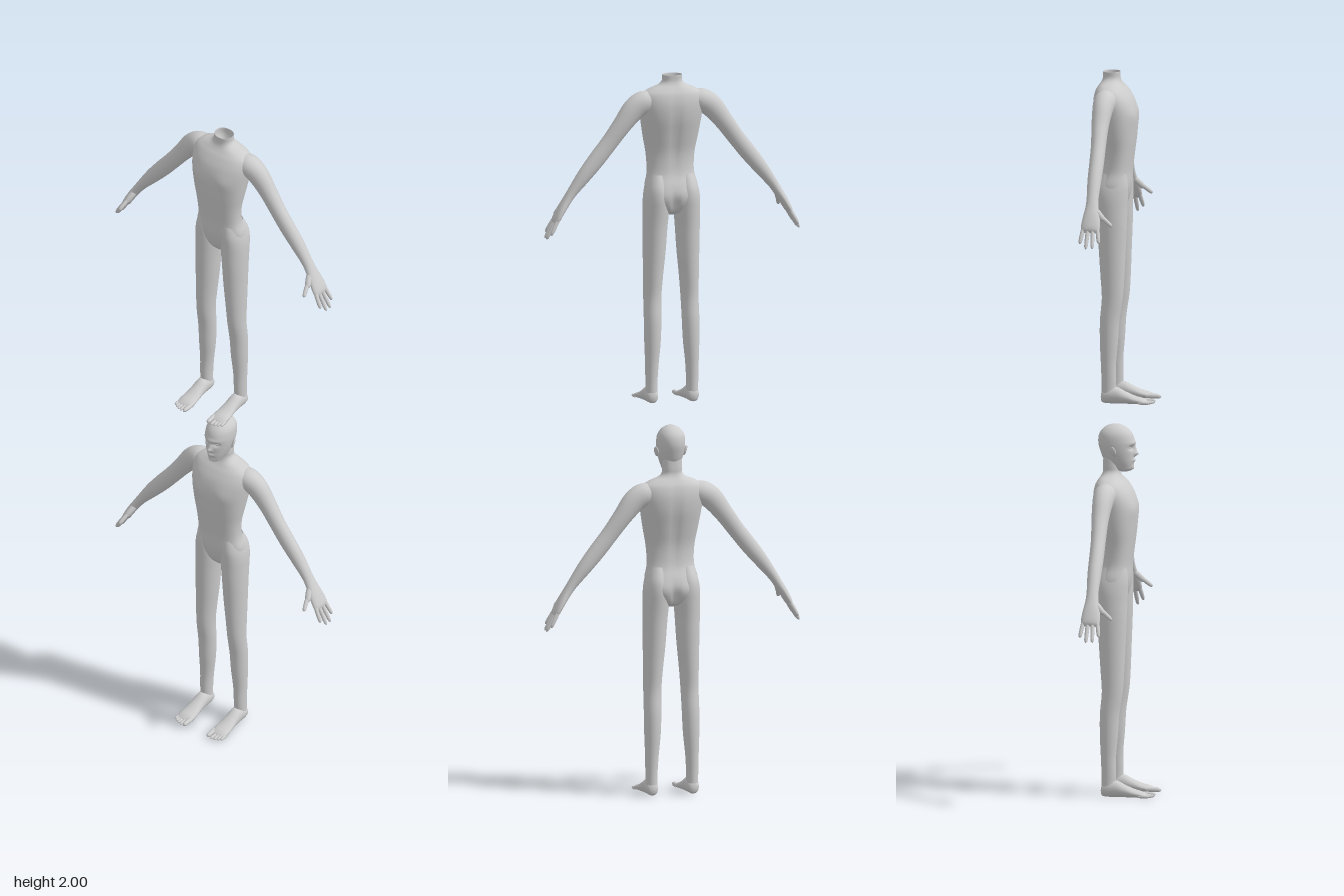
import * as THREE from 'three';

const skin = new THREE.MeshStandardMaterial({ color: 0xcccccc, side: THREE.DoubleSide });
skin.name = 'light grey skin';

// Catmull-Rom blend of whole cross-section rows
function blend(rows, t) {
  const n = rows.length - 1, i = Math.min(Math.floor(t), n - 1), f = t - i;
  const at = k => rows[Math.max(0, Math.min(n, k))];
  return rows[0].map((_, c) => {
    const [p, q, r, s] = [at(i - 1)[c], at(i)[c], at(i + 1)[c], at(i + 2)[c]];
    return q + 0.5 * f * (r - p + f * (2 * p - 5 * q + 4 * r - s + f * (3 * (q - r) + s - p)));
  });
}

// Smooth skin through rows [x, y, z, halfA, halfB]; halfB lies along `axisB`
function loft(name, rows, { seg = 24, steps = 4, axisB = [0, 0, 1], up = null, power = 1, deform = null } = {}) {
  const pos = [], index = [], count = (rows.length - 1) * steps;
  const centre = t => new THREE.Vector3(...blend(rows, t).slice(0, 3));
  const pw = v => Math.sign(v) * Math.abs(v) ** power;
  for (let i = 0; i <= count; i++) {
    const t = i / steps, c = centre(t), row = blend(rows, t);
    const T = up ? new THREE.Vector3(...up)
      : centre(Math.min(t + 0.1, rows.length - 1)).sub(centre(Math.max(t - 0.1, 0))).normalize();
    const A = new THREE.Vector3(...axisB).cross(T).normalize();
    const B = T.clone().cross(A);
    for (let j = 0; j < seg; j++) {
      const th = j / seg * Math.PI * 2;
      const p = c.clone().addScaledVector(A, Math.max(row[3], 0.0003) * pw(Math.cos(th)))
        .addScaledVector(B, Math.max(row[4], 0.0003) * pw(Math.sin(th)));
      if (deform) deform(p, c);
      pos.push(p.x, p.y, p.z);
      if (i < count) {
        const a = i * seg + j, b = i * seg + (j + 1) % seg;
        index.push(a, b, a + seg, b, b + seg, a + seg);
      }
    }
  }
  const g = new THREE.BufferGeometry();
  g.setAttribute('position', new THREE.Float32BufferAttribute(pos, 3));
  g.setIndex(index);
  g.computeVertexNormals();
  const m = new THREE.Mesh(g, skin);
  m.name = name;
  return m;
}

// Upright section from half width and front/back depth
const slab = ([y, w, front, back]) => [0, y, (front + back) / 2, w, (front - back) / 2];

// Push front (dir 1) or back (dir -1) vertices by soft mounds [x, y, sizeX, sizeY, amount]
const mounds = (list, dir) => (p, c) => {
  if ((p.z - c.z) * dir <= 0.008) return;
  const { x, y } = p;
  for (const [mx, my, sx, sy, amt] of list)
    p.z += dir * amt * Math.exp(-(((x - mx) / sx) ** 2) - ((y - my) / sy) ** 2);
};

// Rounded finger or toe from point a to point b
function digit(name, a, b, r, axisB) {
  const at = (f, k) => [0, 1, 2].map(i => a[i] + (b[i] - a[i]) * f).concat(r * k, r * k);
  return loft(name, [at(0, 0.9), at(0.4, 1), at(0.8, 0.9), at(0.95, 0.6), at(1, 0)], { seg: 10, steps: 2, axisB });
}

function torso(detailed) {
  const butt = detailed ? 0.006 : 0.003;
  const rows = [
    [0.522, 0.008, -0.022, -0.045], [0.532, 0.036, -0.006, -0.062], [0.552, 0.06, 0.006, -0.073],
    [0.578, 0.073, 0.014, -0.078], [0.605, 0.074, 0.018, -0.073], [0.64, 0.066, 0.019, -0.061],
    [0.69, 0.068, 0.025, -0.06], [0.74, 0.077, 0.031, -0.071], [0.79, 0.085, 0.033, -0.083],
    [0.83, 0.09, 0.024, -0.086], [0.858, 0.086, 0.008, -0.081], [0.873, 0.066, -0.004, -0.073],
    [0.884, 0.039, -0.011, -0.066], [0.895, 0.028, -0.014, -0.062], [0.91, 0.0275, -0.014, -0.062],
  ];
  // Neck runs on into the head, or turns inward to a hollow
  if (detailed) rows.push([0.945, 0.027, -0.012, -0.06]);
  else rows.push([0.909, 0.0265, -0.015, -0.061], [0.892, 0.025, -0.017, -0.06], [0.875, 0.016, -0.026, -0.052], [0.872, 0.001, -0.038, -0.04]);
  const back = mounds([[0.035, 0.565, 0.025, 0.03, butt], [-0.035, 0.565, 0.025, 0.03, butt],
    [0, 0.55, 0.008, 0.03, -0.01], [0, 0.75, 0.012, 0.1, -0.006]], -1);
  const front = mounds([[0.04, 0.795, 0.025, 0.022, 0.003], [-0.04, 0.795, 0.025, 0.022, 0.003]], 1);
  return loft('torso', rows.map(slab), { seg: 48, up: [0, 1, 0], power: 0.88,
    deform: (p, c) => { back(p, c); front(p, c); } });
}

function arm(s) {
  const g = new THREE.Group();
  g.name = s > 0 ? 'leftArm' : 'rightArm';
  const flip = rows => rows.map(([x, ...r]) => [s * x, ...r]);
  g.add(loft('armSkin', flip([
    [0.045, 0.842, -0.041, 0.018, 0.022], [0.078, 0.839, -0.042, 0.031, 0.031], [0.11, 0.82, -0.044, 0.0315, 0.028],
    [0.145, 0.777, -0.045, 0.026, 0.0235], [0.18, 0.73, -0.043, 0.0235, 0.0205], [0.215, 0.686, -0.042, 0.023, 0.02],
    [0.25, 0.643, -0.042, 0.02, 0.019], [0.283, 0.6, -0.041, 0.0145, 0.0165], [0.3, 0.575, -0.04, 0.0125, 0.0185],
    [0.317, 0.548, -0.039, 0.0115, 0.0245], [0.332, 0.521, -0.039, 0.009, 0.026], [0.337, 0.512, -0.039, 0.001, 0.017],
  ])));
  // Four fingers fan out from the knuckles
  const tips = [[0.353, 0.485, -0.012], [0.36, 0.471, -0.029], [0.36, 0.47, -0.047], [0.352, 0.483, -0.065]];
  tips.forEach(([x, y, z], i) =>
    g.add(digit('finger', [s * 0.325, 0.533, -0.021 - i * 0.012], [s * x, y, z], 0.0058, [0, 0, 1])));
  g.add(digit('thumb', [s * 0.3, 0.575, -0.034], [s * 0.314, 0.543, -0.003], 0.009, [1, 0, 0]));
  g.add(digit('thumbTip', [s * 0.309, 0.554, -0.012], [s * 0.319, 0.528, 0.019], 0.006, [1, 0, 0]));
  return g;
}

function leg(s) {
  const g = new THREE.Group();
  g.name = s > 0 ? 'leftLeg' : 'rightLeg';
  const flip = rows => rows.map(([x, ...r]) => [s * x, ...r]);
  // The thigh widens past the hip and fades into the torso
  g.add(loft('legSkin', flip([
    [0.058, 0.015, -0.037, 0.016, 0.019], [0.058, 0.06, -0.036, 0.0165, 0.02], [0.057, 0.11, -0.037, 0.0185, 0.021],
    [0.055, 0.17, -0.036, 0.0225, 0.025], [0.054, 0.23, -0.034, 0.024, 0.027], [0.053, 0.29, -0.027, 0.0245, 0.029],
    [0.051, 0.35, -0.027, 0.027, 0.033], [0.048, 0.42, -0.028, 0.031, 0.037], [0.046, 0.49, -0.029, 0.034, 0.041],
    [0.044, 0.535, -0.031, 0.036, 0.044], [0.0435, 0.57, -0.032, 0.0355, 0.0465], [0.043, 0.6, -0.03, 0.031, 0.045],
    [0.04, 0.635, -0.024, 0.023, 0.035],
  ]), { seg: 32, up: [0, 1, 0] }));
  // Foot runs from heel to ball, its sole on the ground
  g.add(loft('foot', flip([
    [0.058, 0.017, -0.058, 0.002, 0.003], [0.058, 0.018, -0.054, 0.013, 0.015], [0.058, 0.022, -0.038, 0.018, 0.022],
    [0.058, 0.023, -0.015, 0.019, 0.023], [0.058, 0.017, 0.01, 0.02, 0.017], [0.058, 0.0115, 0.035, 0.023, 0.0115],
    [0.058, 0.0085, 0.056, 0.024, 0.0085], [0.058, 0.007, 0.068, 0.019, 0.004], [0.058, 0.007, 0.071, 0.01, 0.001],
  ]), { axisB: [0, 1, 0], up: [0, 0, 1] }));
  const reach = [0.091, 0.091, 0.089, 0.085, 0.079];
  reach.forEach((z, i) => {
    const r = i ? 0.0045 : 0.0068, x = [0.041, 0.053, 0.0625, 0.071, 0.079][i];
    g.add(digit('toe', [s * (x - 0.001), r + 0.001, 0.05], [s * x, r + 0.0002, z], r, [0, 1, 0]));
  });
  return g;
}

function head() {
  const g = new THREE.Group();
  g.name = 'head';
  // Skull with nose, brow, eye sockets, lips and chin raised from the face
  g.add(loft('skull', [
    [0.893, 0.002, 0.002, -0.01], [0.898, 0.016, 0.016, -0.025], [0.91, 0.023, 0.022, -0.046],
    [0.927, 0.03, 0.024, -0.06], [0.95, 0.036, 0.025, -0.069], [0.975, 0.0385, 0.026, -0.075],
    [0.998, 0.036, 0.019, -0.072], [1.014, 0.026, 0.005, -0.06], [1.023, 0.012, -0.012, -0.043],
    [1.025, 0.001, -0.025, -0.028],
  ].map(slab), { seg: 64, steps: 8, up: [0, 1, 0], power: 0.95, deform: mounds([
    [0, 0.943, 0.006, 0.006, 0.011], [0, 0.955, 0.004, 0.01, 0.006],
    [0.015, 0.961, 0.009, 0.006, -0.008], [-0.015, 0.961, 0.009, 0.006, -0.008],
    [0, 0.974, 0.025, 0.005, 0.003], [0, 0.925, 0.01, 0.004, 0.005], [0, 0.904, 0.009, 0.006, 0.004],
  ], 1) }));
  for (const s of [1, -1]) {
    const ear = new THREE.Mesh(new THREE.SphereGeometry(1, 16, 12), skin);
    ear.name = s > 0 ? 'leftEar' : 'rightEar';
    ear.scale.set(0.004, 0.015, 0.009);
    ear.position.set(s * 0.041, 0.953, -0.027);
    ear.rotation.set(-0.2, s * 0.5, -s * 0.2);
    g.add(ear);
    const eye = new THREE.Mesh(new THREE.SphereGeometry(0.006, 14, 10), skin);
    eye.name = s > 0 ? 'leftEye' : 'rightEye';
    eye.position.set(s * 0.015, 0.961, 0.0115);
    g.add(eye);
  }
  return g;
}

function figure(name, withHead) {
  const g = new THREE.Group();
  g.name = name;
  g.add(torso(withHead));
  for (const s of [1, -1]) g.add(arm(s), leg(s));
  if (withHead) g.add(head());
  return g;
}

export function createModel() {
  const model = new THREE.Group();
  model.name = 'stackedFigures';
  const upper = figure('headlessFigure', false);
  upper.position.y = 1.09;
  model.add(figure('wholeFigure', true), upper);
  return model;
}
